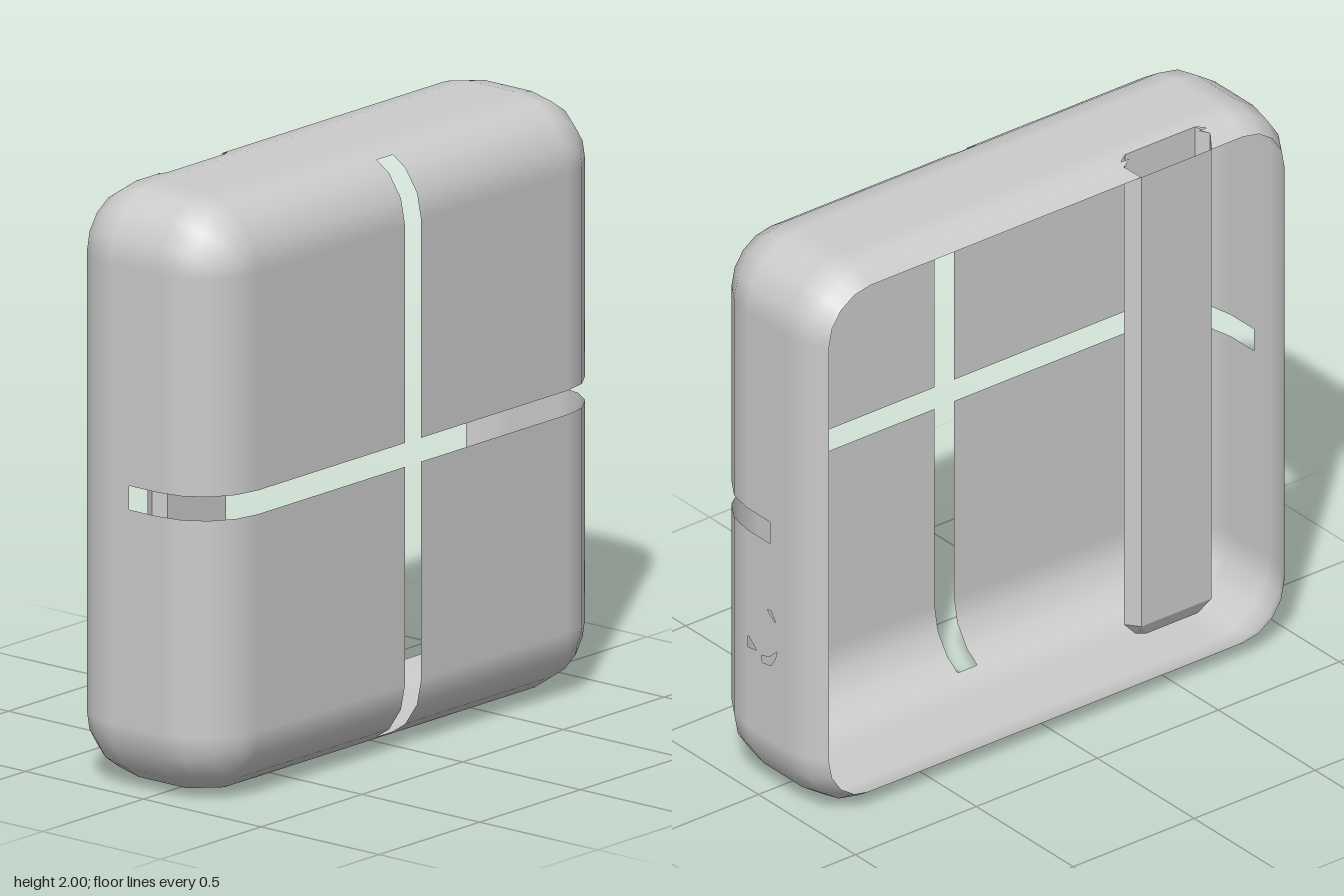
import * as THREE from 'three';

const R = 0.23, FLAT = 0.77;           // edge radius, half-width of the flat zone
const Z_FRONT = 0.06, Z_BACK = -0.14;  // where the front and back roundings begin
const SLOT = 0.04, SIDE_SLOT_Z = -0.06, TOP_SLOT_Z = 0.17;
const CH_X = [-0.67, -0.64, -0.35, -0.315], CH_Z = [-0.29, -0.245, -0.205];

// Inward offset of the wall at depth z, along 4-segment roundings
const knots = [];
for (let k = 2; k > 0; k--) knots.push([Z_BACK - R * Math.sin(k * Math.PI / 8), R * (1 - Math.cos(k * Math.PI / 8))]);
for (let k = 0; k <= 4; k++) {
  if (k === 0) knots.push([Z_BACK, 0]);
  knots.push([Z_FRONT + R * Math.sin(k * Math.PI / 8), R * (1 - Math.cos(k * Math.PI / 8))]);
}
function inset(z) {
  let i = 0;
  while (i < knots.length - 2 && z > knots[i + 1][0]) i++;
  const [a, b] = [knots[i], knots[i + 1]];
  return a[1] + (b[1] - a[1]) * (z - a[0]) / (b[0] - a[0]);
}

function surface(name, geometry, material) {
  const mesh = new THREE.Mesh(geometry, material);
  mesh.name = name;
  return mesh;
}

// Rounded-square outline: each side's straight points, then its corner arc
function outline() {
  const pts = [];
  for (let s = 0; s < 4; s++) {
    const turn = s * Math.PI / 2;
    // the top side (s = 1) runs towards -x and also carries the channel opening
    const along = s === 1 ? [-SLOT, SLOT, ...CH_X.map(x => -x).reverse()] : [-SLOT, SLOT];
    for (const t of along) pts.push({ side: s, t, angle: turn, c: [FLAT, t] });
    for (let k = 0; k <= 4; k++) pts.push({ side: s, t: FLAT, angle: turn + k * Math.PI / 8, c: [FLAT, FLAT], arc: k });
  }
  for (const p of pts) {
    const a = p.side * Math.PI / 2, [x, y] = p.c;
    p.cx = x * Math.cos(a) - y * Math.sin(a);
    p.cy = x * Math.sin(a) + y * Math.cos(a);
  }
  return pts;
}

function wallGeometry() {
  const zs = [...CH_Z, SIDE_SLOT_Z, TOP_SLOT_Z, ...knots.slice(1).map(k => k[0])].sort((a, b) => a - b);
  const pts = outline(), n = pts.length;
  const pos = [], nor = [], idx = [];
  for (const z of zs) for (const p of pts) {
    const r = R - inset(z), ca = Math.cos(p.angle), sa = Math.sin(p.angle);
    pos.push(p.cx + r * ca, p.cy + r * sa, z);
    const nz = (z > Z_FRONT ? z - Z_FRONT : Math.min(0, z - Z_BACK)) / R;
    const nr = Math.sqrt(Math.max(0, 1 - nz * nz));
    nor.push(nr * ca, nr * sa, nz);
  }
  for (let i = 0; i < zs.length - 1; i++) for (let j = 0; j < n; j++) {
    const k = (j + 1) % n, p = pts[j], q = pts[k];
    const zm = (zs[i] + zs[i + 1]) / 2, xm = (p.cx + q.cx) / 2, ym = (p.cy + q.cy) / 2;
    const onSide = Math.abs(xm) > 0.76 && Math.abs(ym) < 0.01;
    const onEnd = Math.abs(ym) > 0.76 && Math.abs(xm) < 0.01;
    // slots, and the flat panel that is filled in separately
    if (onSide && zm > SIDE_SLOT_Z || onEnd && zm > TOP_SLOT_Z) continue;
    if (xm > 0.76 && ym < -0.1 && ym > -0.76 && zm > Z_BACK && zm < Z_FRONT) continue;
    const a = i * n + j, b = i * n + k, c = b + n, d = a + n;
    // opening of the channel, with its pointed ends
    if (ym > 0.76 && zm < CH_Z[2] && xm > CH_X[0] && xm < CH_X[3]) {
      const back = zm < CH_Z[1];
      if (xm < CH_X[1]) idx.push(...(back ? [a, b, c] : [b, c, d]));
      else if (xm > CH_X[2]) idx.push(...(back ? [a, b, d] : [a, c, d]));
      continue;
    }
    idx.push(a, b, c, a, c, d);
  }
  const g = new THREE.BufferGeometry();
  g.setAttribute('position', new THREE.Float32BufferAttribute(pos, 3));
  g.setAttribute('normal', new THREE.Float32BufferAttribute(nor, 3));
  g.setIndex(idx);
  return g;
}

// Flat lower part of the left wall with three small openings, drawn in (-z, y)
function sidePanelGeometry() {
  const shape = new THREE.Shape([[-Z_FRONT, -FLAT], [-Z_BACK, -FLAT], [-Z_BACK, -SLOT], [-Z_FRONT, -SLOT]]
    .map(p => new THREE.Vector2(...p)));
  const holes = [
    [[-0.055, -0.43], [-0.055, -0.475], [-0.01, -0.468], [-0.03, -0.45]],
    [[0.015, -0.475], [0.055, -0.465], [0.095, -0.428], [0.088, -0.455], [0.065, -0.492], [0.02, -0.5]],
    [[0.045, -0.29], [0.065, -0.288], [0.088, -0.322], [0.06, -0.305]],
  ];
  for (const h of holes) shape.holes.push(new THREE.Path(h.map(p => new THREE.Vector2(...p))));
  return new THREE.ShapeGeometry(shape).rotateY(Math.PI / 2).translate(1, 0, 0);
}

// Hollow hexagonal channel: open at the top, bevelled and closed at the bottom
function channelGeometry() {
  const [x0, x1, x2, x3] = CH_X, [z0, z1, z2] = CH_Z;
  const hex = [[x0, z1], [x1, z2], [x2, z2], [x3, z1], [x2, z0], [x1, z0]];
  const cx = (x0 + x3) / 2, cz = (z0 + z2) / 2;
  const rings = [
    hex.map(([x, z]) => [cx + (x - cx) * 0.74, -0.78, cz + (z - cz) * 0.45]),
    hex.map(([x, z]) => [x, -0.73, z]),
    hex.map(([x, z]) => [x, 1 - inset(z), z]),
  ];
  const pos = [];
  for (let i = 0; i < 2; i++) for (let j = 0; j < 6; j++) {
    const k = (j + 1) % 6, a = rings[i][j], b = rings[i][k], c = rings[i + 1][k], d = rings[i + 1][j];
    pos.push(...a, ...b, ...c, ...a, ...c, ...d);
  }
  for (let j = 1; j < 5; j++) pos.push(...rings[0][0], ...rings[0][j + 1], ...rings[0][j]);
  const g = new THREE.BufferGeometry();
  g.setAttribute('position', new THREE.Float32BufferAttribute(pos, 3));
  g.computeVertexNormals();
  return g;
}

export function createModel() {
  const model = new THREE.Group();
  model.name = 'slottedCover';
  const body = new THREE.Group();
  body.name = 'coverBody';
  body.position.y = 1;
  model.add(body);
  const grey = new THREE.MeshStandardMaterial({ color: 0xcccccc, side: THREE.DoubleSide });

  body.add(surface('roundedWall', wallGeometry(), grey));
  body.add(surface('sidePanel', sidePanelGeometry(), grey));

  // Four front panes separated by the cross-shaped slot
  const size = FLAT - SLOT, mid = (FLAT + SLOT) / 2;
  for (const sx of [-1, 1]) for (const sy of [-1, 1]) {
    const pane = surface('frontPane', new THREE.PlaneGeometry(size, size), grey);
    pane.position.set(sx * mid, sy * mid, Z_FRONT + R);
    body.add(pane);
  }

  body.add(surface('backChannel', channelGeometry(), grey));
  return model;
}
